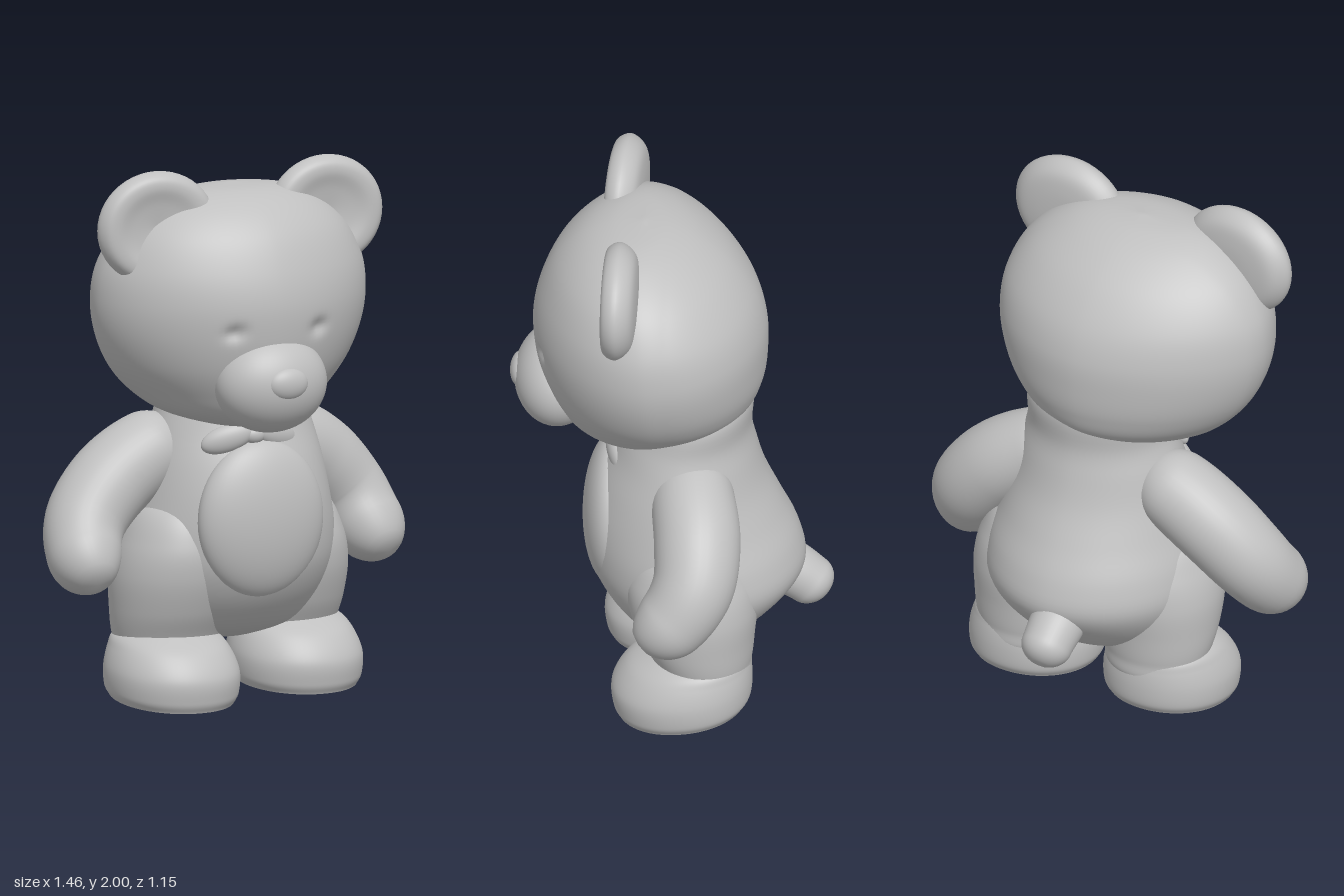
import * as THREE from 'three';
import { mergeVertices } from 'three/addons/utils/BufferGeometryUtils.js';

const clay = new THREE.MeshStandardMaterial({ color: 0xc0c0c0 });
clay.name = 'clay grey';

function add(parent, name, geometry, x = 0, y = 0, z = 0) {
  const mesh = new THREE.Mesh(geometry, clay);
  mesh.name = name;
  mesh.position.set(x, y, z);
  parent.add(mesh);
  return mesh;
}

// Weld seams and poles, then shade smoothly
function smooth(geometry) {
  geometry.deleteAttribute('uv');
  geometry.deleteAttribute('normal');
  const g = mergeVertices(geometry, 1e-5);
  g.computeVertexNormals();
  return g;
}

// Stack of ovals: sections are [y, half width, front z, back z]; an open bottom gets a flat cap
function loft(sections, { power = 2, rows = 64, cols = 72, warp } = {}) {
  const size = new THREE.CatmullRomCurve3(sections.map(s => new THREE.Vector3(s[0], s[1], 0)), false, 'catmullrom');
  const depth = new THREE.CatmullRomCurve3(sections.map(s => new THREE.Vector3(s[2], s[3], 0)), false, 'catmullrom');
  const pos = [], index = [];
  const v = new THREE.Vector3();
  const push = (x, y, z) => {
    v.set(x, y, z);
    if (warp) warp(v);
    pos.push(v.x, v.y, v.z);
  };
  const bulge = c => Math.sign(c) * Math.pow(Math.abs(c), 2 / power);
  for (let j = 0; j <= rows; j++) {
    const s = size.getPoint(j / rows), d = depth.getPoint(j / rows);
    for (let i = 0; i < cols; i++) {
      const a = (i / cols) * Math.PI * 2;
      push(bulge(Math.cos(a)) * Math.max(0, s.y), s.x, (d.x + d.y) / 2 + bulge(Math.sin(a)) * (d.x - d.y) / 2);
      if (j < rows) {
        const k = (i + 1) % cols, p = j * cols, q = p + cols;
        index.push(p + i, q + i, p + k, p + k, q + i, q + k);
      }
    }
  }
  const g = new THREE.BufferGeometry();
  const first = sections[0];
  if (first[1] > 0) {
    const base = pos.length / 3;
    for (let i = 0; i < cols; i++) {
      pos.push(...pos.slice(i * 3, i * 3 + 3));
      index.push(base + cols, base + i, base + (i + 1) % cols);
    }
    push(0, first[0], (first[2] + first[3]) / 2);
  }
  g.setAttribute('position', new THREE.Float32BufferAttribute(pos, 3));
  g.setIndex(index);
  if (first[1] > 0) {
    g.computeVertexNormals();
    return g;
  }
  return smooth(g);
}

// Round-ended tapering tube: points are [x, y, z, radius]
function limb(points, round = 0.2) {
  const seg = 48, sides = 36;
  const path = new THREE.CatmullRomCurve3(points.map(p => new THREE.Vector3(p[0], p[1], p[2])));
  const radii = new THREE.SplineCurve(points.map((p, i) => new THREE.Vector2(i, p[3])));
  const g = new THREE.TubeGeometry(path, seg, 1, sides);
  const pos = g.attributes.position, v = new THREE.Vector3();
  for (let j = 0; j <= seg; j++) {
    const t = j / seg, c = path.getPointAt(t);
    const e = Math.min(1, Math.min(t, 1 - t) / round);
    const r = radii.getPoint(t).y * Math.sqrt(1 - (1 - e) ** 2);
    for (let i = 0; i <= sides; i++) {
      const n = j * (sides + 1) + i;
      v.fromBufferAttribute(pos, n).sub(c).multiplyScalar(r).add(c);
      pos.setXYZ(n, v.x, v.y, v.z);
    }
  }
  return smooth(g);
}

const ball = (rx, ry, rz) => new THREE.SphereGeometry(1, 48, 32).scale(rx, ry, rz);

export function createModel() {
  const bear = new THREE.Group();
  bear.name = 'teddyBear';

  // Everything but the arms is turned slightly to its right
  const turned = new THREE.Group();
  turned.name = 'turnedBody';
  turned.rotation.y = -0.2;
  bear.add(turned);

  // Torso with a padded belly
  const body = new THREE.Group();
  body.name = 'body';
  body.position.x = 0.05;
  turned.add(body);
  add(body, 'torso', loft([
    [0.21, 0, -0.1, -0.1], [0.23, 0.12, 0, -0.18], [0.28, 0.26, 0.12, -0.28], [0.38, 0.35, 0.22, -0.4],
    [0.5, 0.4, 0.285, -0.485], [0.62, 0.4, 0.305, -0.47], [0.75, 0.37, 0.3, -0.41], [0.88, 0.34, 0.265, -0.35],
    [1.0, 0.31, 0.215, -0.315], [1.1, 0.28, 0.18, -0.295], [1.22, 0.26, 0.12, -0.3], [1.3, 0.16, 0.05, -0.26],
    [1.32, 0, -0.07, -0.07],
  ], { power: 1.87 }));
  add(body, 'belly', ball(0.25, 0.29, 0.108), -0.015, 0.69, 0.21);

  // Legs and flat-soled feet
  const legShape = loft([
    [0.15, 0, -0.09, -0.09], [0.17, 0.17, 0.06, -0.25], [0.25, 0.2, 0.09, -0.27], [0.35, 0.217, 0.14, -0.28],
    [0.48, 0.222, 0.18, -0.29], [0.6, 0.195, 0.18, -0.27], [0.72, 0.13, 0.12, -0.2], [0.78, 0, -0.03, -0.03],
  ]);
  const footShape = loft([
    [0, 0.22, 0.215, -0.25], [0.04, 0.238, 0.232, -0.268], [0.12, 0.24, 0.235, -0.272], [0.2, 0.217, 0.185, -0.265],
    [0.25, 0.185, 0.11, -0.25], [0.28, 0.11, 0.04, -0.2], [0.29, 0, -0.06, -0.06],
  ], { power: 2.1, warp: v => { v.y += 0.11 * (0.22 - v.z) * (1 - v.y / 0.3); } });
  for (const [side, s, y, z] of [['left', 1, 0.02, -0.04], ['right', -1, 0, 0.015]]) {
    add(body, side + 'Leg', legShape, s * 0.25, 0, z);
    add(body, side + 'Foot', footShape, s * 0.265, y, z);
  }

  // Stubby tail
  add(body, 'tail', limb([
    [-0.035, 0.475, -0.36, 0.1], [-0.035, 0.44, -0.43, 0.1], [-0.035, 0.39, -0.5, 0.093], [-0.035, 0.335, -0.56, 0.09],
  ], 0.3));

  // Small bow under the chin
  for (const s of [1, -1]) {
    const lobe = add(body, 'bowLobe', ball(0.1, 0.05, 0.035), -0.04 + s * 0.1, 0.99, 0.19);
    lobe.rotation.set(0, s * 0.3, -s * 0.3);
  }
  add(body, 'bowKnot', ball(0.045, 0.035, 0.035), -0.04, 1.0, 0.205);

  // Head with dented eye sockets and a slightly skewed back
  const head = new THREE.Group();
  head.name = 'head';
  head.position.x = -0.03;
  turned.add(head);
  add(head, 'skull', loft([
    [1.04, 0, 0.18, 0.18], [1.05, 0.12, 0.3, 0.03], [1.1, 0.28, 0.38, -0.15], [1.18, 0.385, 0.43, -0.285],
    [1.28, 0.465, 0.47, -0.335], [1.4, 0.515, 0.495, -0.35], [1.52, 0.53, 0.5, -0.345], [1.64, 0.51, 0.475, -0.305],
    [1.76, 0.44, 0.42, -0.22], [1.85, 0.33, 0.335, -0.11], [1.9, 0.2, 0.23, 0], [1.917, 0, 0.1, 0.1],
  ], {
    power: 1.84, rows: 110, cols: 140,
    warp: v => {
      if (v.z < 0) v.x -= v.z * 0.1;
      if (v.z < 0.2) return;
      const d2 = ((Math.abs(v.x) - 0.17) / 0.032) ** 2 + ((v.y - 1.425) / 0.028) ** 2;
      v.z -= 0.022 * Math.exp(-d2);
    },
  }));
  add(head, 'muzzle', ball(0.215, 0.18, 0.158), 0, 1.225, 0.412);
  add(head, 'nose', ball(0.08, 0.06, 0.04), 0, 1.24, 0.545);

  // Round ears, gently dished at the front
  const earProfile = new THREE.SplineCurve([
    [0, -0.06], [0.1, -0.056], [0.17, -0.04], [0.207, 0.005], [0.19, 0.045], [0.15, 0.055], [0.09, 0.042], [0, 0.03],
  ].map(p => new THREE.Vector2(...p))).getPoints(40);
  earProfile.forEach(p => { p.x = Math.max(0, p.x); });
  const earShape = smooth(new THREE.LatheGeometry(earProfile, 48).rotateX(Math.PI / 2).scale(1.1, 1, 1.12));
  add(head, 'leftEar', earShape, 0.345, 1.79, 0.165).rotation.y = -0.02;
  add(head, 'rightEar', earShape, -0.348, 1.787, 0.18).rotation.y = -0.1;

  // Arms hanging out and forward
  add(bear, 'leftArm', limb([
    [0.15, 0.97, -0.05, 0.13], [0.31, 0.92, -0.035, 0.15], [0.455, 0.83, -0.03, 0.157],
    [0.56, 0.71, 0, 0.15], [0.596, 0.6, 0.075, 0.136], [0.6, 0.5, 0.205, 0.12],
  ], 0.18));
  add(bear, 'rightArm', limb([
    [-0.11, 0.97, -0.1, 0.13], [-0.27, 0.91, -0.135, 0.15], [-0.42, 0.81, -0.155, 0.155],
    [-0.535, 0.69, -0.14, 0.15], [-0.59, 0.59, -0.08, 0.138], [-0.625, 0.49, 0.045, 0.125],
  ], 0.18));
  return bear;
}
